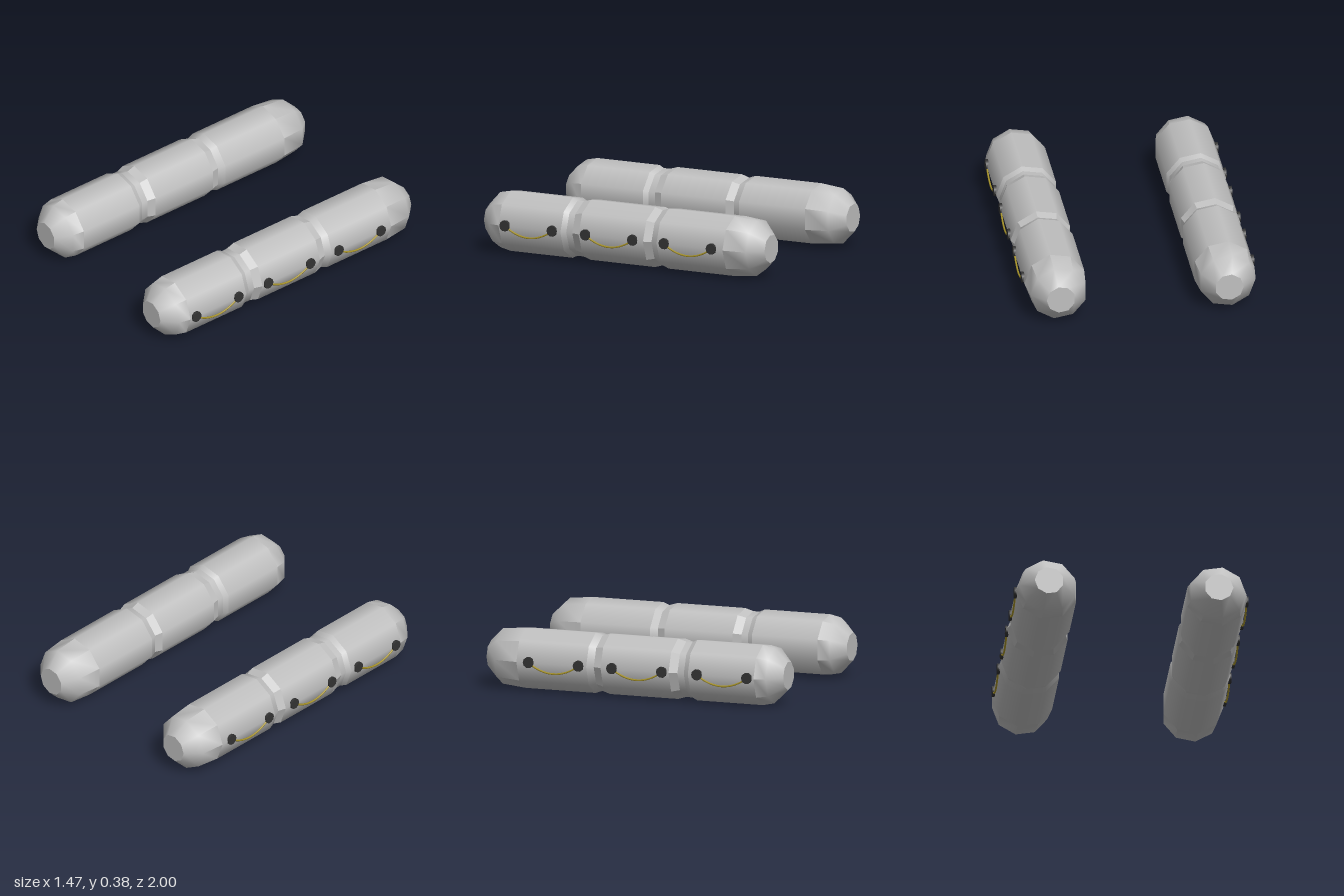
import * as THREE from 'three';

const SIDES = 9, R = 0.195, GROOVE = 0.179, TIP = 0.091;
const CENTRE_X = 0.533, CENTRE_Y = 0.193;

const hullGrey = new THREE.MeshStandardMaterial({ color: 0xc0c0c0 });
hullGrey.name = 'hullGrey';
const cleatBlack = new THREE.MeshStandardMaterial({ color: 0x333333 });
cleatBlack.name = 'cleatBlack';
const ropeYellow = new THREE.MeshStandardMaterial({ color: 0xa8942a });
ropeYellow.name = 'ropeYellow';

// One nine-sided band from z0 to z1. Tilt leans the normals towards +z;
// flat0 and flat1 say which end is faceted instead of smooth.
function band(z0, r0, z1, r1, tilt0, tilt1, flat0, flat1) {
  const positions = [], normals = [];
  const step = (Math.PI * 2) / SIDES;
  for (let i = 0; i < SIDES; i++) {
    const corner = (k, end) => {
      const a = (i + k) * step;
      const r = end ? r1 : r0, tilt = end ? tilt1 : tilt0;
      const n = (end ? flat1 : flat0) ? (i + 0.5) * step : a;
      positions.push(Math.cos(a) * r, Math.sin(a) * r, end ? z1 : z0);
      normals.push(Math.cos(n) * Math.cos(tilt), Math.sin(n) * Math.cos(tilt), Math.sin(tilt));
    };
    corner(0, 0); corner(1, 0); corner(1, 1);
    corner(0, 0); corner(1, 1); corner(0, 1);
  }
  const g = new THREE.BufferGeometry();
  g.setAttribute('position', new THREE.Float32BufferAttribute(positions, 3));
  g.setAttribute('normal', new THREE.Float32BufferAttribute(normals, 3));
  return g;
}

// Name followed by the arguments of band, from back to front
const BANDS = [
  ['rearNose', -1, TIP, -0.913, GROOVE, -0.8, -0.45, false, false],
  ['rearCollar', -0.913, GROOVE, -0.757, R, -0.45, -0.1, false, true],
  ['rearSection', -0.757, R, -0.287, R, 0, 0, false, false],
  ['rearGrooveBack', -0.287, R, -0.242, GROOVE, 0.34, 0.34, false, false],
  ['rearGrooveFront', -0.242, GROOVE, -0.19, R, -0.3, -0.3, true, true],
  ['middleSection', -0.19, R, 0.268, R, 0, 0, false, false],
  ['frontGrooveBack', 0.268, R, 0.322, GROOVE, 0.29, 0.29, true, true],
  ['frontGrooveFloor', 0.322, GROOVE, 0.365, GROOVE, 0, 0, false, false],
  ['frontGrooveFront', 0.365, GROOVE, 0.398, R, -0.45, -0.45, false, false],
  ['frontSection', 0.398, R, 0.84, R, 0, 0, false, false],
  ['frontCollar', 0.84, R, 0.915, GROOVE, 0.21, 0.5, true, false],
  ['frontNose', 0.915, GROOVE, 1, TIP, 0.5, 0.8, false, false],
];

function addMesh(parent, name, geometry, material) {
  const mesh = new THREE.Mesh(geometry, material);
  mesh.name = name;
  parent.add(mesh);
  return mesh;
}

// Hull with a corner of the nine-sided section pointing outwards
function createHull(side) {
  const hull = new THREE.Group();
  hull.name = 'hull';
  for (const [name, ...args] of BANDS) addMesh(hull, name, band(...args), hullGrey);
  const front = addMesh(hull, 'frontCap', new THREE.CircleGeometry(TIP, SIDES), hullGrey);
  front.position.z = 1;
  const rear = addMesh(hull, 'rearCap', new THREE.CircleGeometry(TIP, SIDES), hullGrey);
  rear.position.z = -1;
  rear.rotation.x = Math.PI;
  if (side < 0) hull.rotation.z = Math.PI;
  return hull;
}

// Two round cleats with a sagging grab rope between them
function createGrabLine(side, z) {
  const line = new THREE.Group();
  line.name = 'grabLine';
  const half = 0.168, x = side * 0.194;
  for (const end of [-1, 1]) {
    const cleat = addMesh(line, 'cleat', new THREE.CylinderGeometry(0.035, 0.035, 0.018, 10), cleatBlack);
    cleat.rotation.z = Math.PI / 2;
    cleat.position.set(x, 0.002, z + end * half);
  }
  const points = [];
  for (let i = 0; i <= 8; i++) {
    const t = i / 4 - 1;
    points.push(new THREE.Vector3(x, -0.06 * (1 - t * t), z + t * half));
  }
  addMesh(line, 'grabRope',
    new THREE.TubeGeometry(new THREE.CatmullRomCurve3(points), 24, 0.006, 6), ropeYellow);
  return line;
}

export function createModel() {
  const model = new THREE.Group();
  model.name = 'floatPair';
  for (const side of [1, -1]) {
    const float = new THREE.Group();
    float.name = side > 0 ? 'leftFloat' : 'rightFloat';
    float.add(createHull(side));
    for (const z of [0.626, 0.053, -0.508]) float.add(createGrabLine(side, z));
    float.position.set(side * CENTRE_X, CENTRE_Y, 0);
    model.add(float);
  }
  return model;
}
